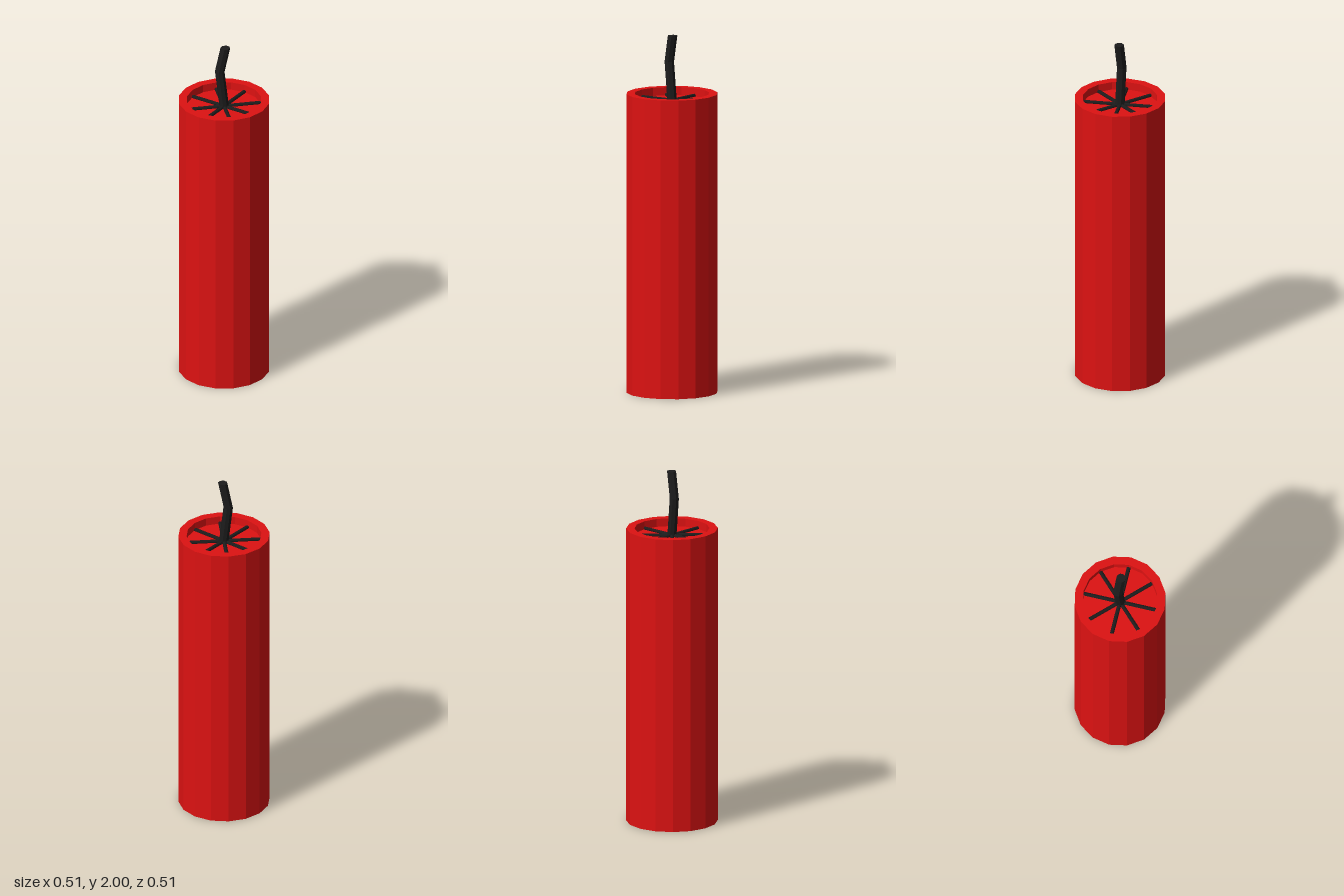
import * as THREE from 'three';

export function createModel() {
  const model = new THREE.Group();
  const red = new THREE.MeshStandardMaterial({ color: 0xdd1212, flatShading: true });
  const black = new THREE.MeshStandardMaterial({ color: 0x1c1c1c, flatShading: true });

  function add(name, geometry, material, parent = model) {
    const mesh = new THREE.Mesh(geometry, material);
    mesh.name = name;
    parent.add(mesh);
    return mesh;
  }

  const sides = 16, outer = 0.254, inner = 0.208, top = 1.675;
  const floorY = 1.63, baseY = 0.055;

  // Tube with a raised rim at both ends and a recessed top
  const profile = [
    [inner, baseY], [inner, 0], [outer, 0], [outer, top],
    [inner, top], [inner, floorY], [0, floorY],
  ].map(([r, y]) => new THREE.Vector2(r, y));
  add('casing', new THREE.LatheGeometry(profile, sides), red);

  // Recessed dark plug closing the bottom
  const plug = add('bottomPlug', new THREE.CircleGeometry(inner, sides).rotateX(Math.PI / 2), black);
  plug.position.y = baseY;

  // Eight cords radiating over the recessed top
  const cords = new THREE.Group();
  cords.name = 'cords';
  model.add(cords);
  const cord = new THREE.CylinderGeometry(0.011, 0.011, 0.206, 8)
    .rotateZ(Math.PI / 2).translate(0.103, 0, 0);
  for (let i = 0; i < 8; i++) {
    const mesh = add('cord', cord, black, cords);
    mesh.position.y = floorY + 0.004;
    mesh.rotation.y = (i + 0.5) * Math.PI / 4;
  }

  // Bent fuse: each ring of a cylinder is moved onto the fuse path
  const path = [[0.005, 2, 0.006], [-0.019, 1.85, -0.014], [0.002, 1.62, 0.002]];
  const fuse = new THREE.CylinderGeometry(0.027, 0.027, 2, 8, 2);
  const pos = fuse.attributes.position;
  for (let i = 0; i < pos.count; i++) {
    const [x, y, z] = path[Math.round(1 - pos.getY(i))];
    pos.setXYZ(i, pos.getX(i) + x, y, pos.getZ(i) + z);
  }
  fuse.computeVertexNormals();
  add('fuse', fuse, black);

  return model;
}
